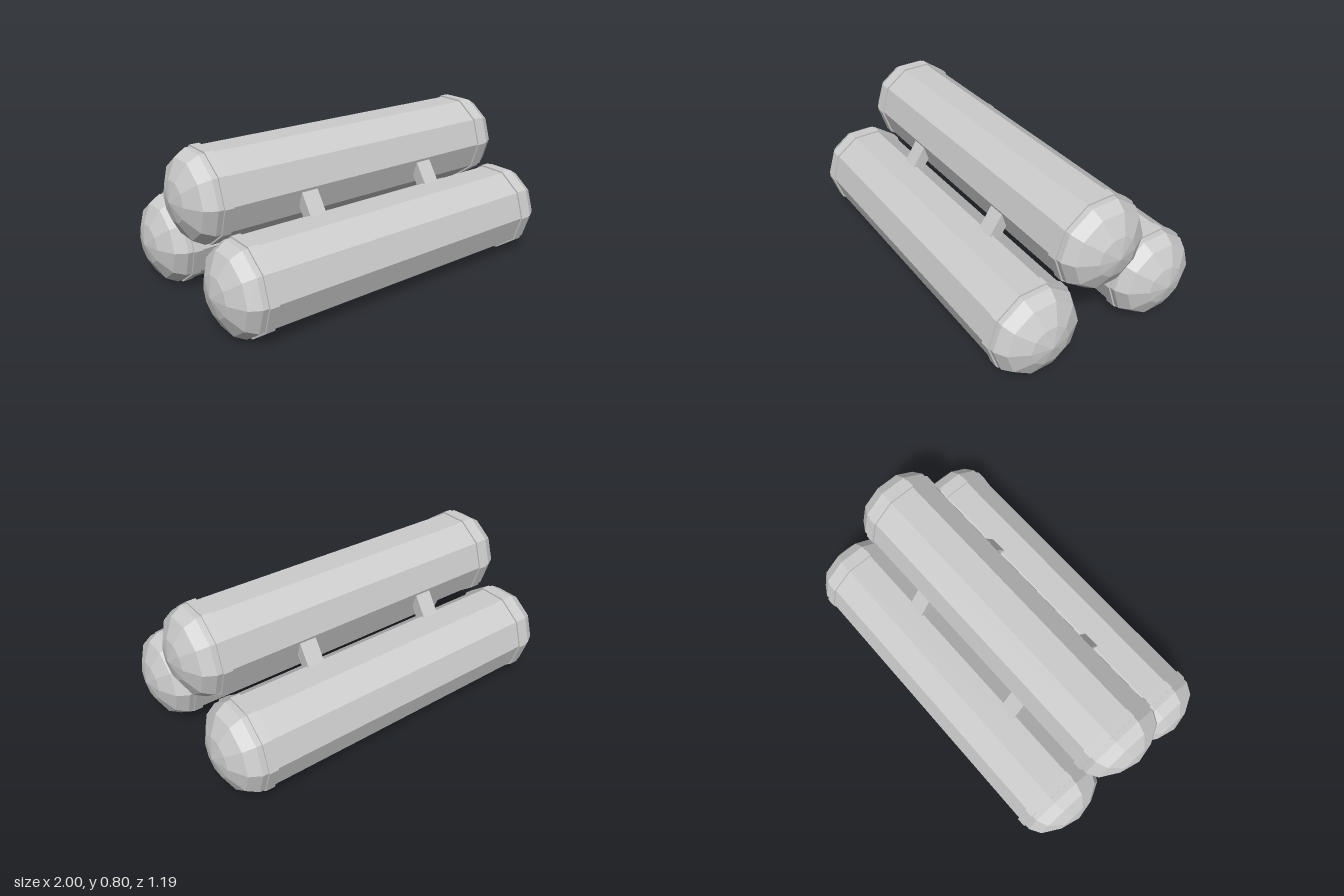
import * as THREE from 'three';

const SIDES = 10;
const material = new THREE.MeshStandardMaterial({ color: 0xcccccc, flatShading: true });

// Ten-sided lathe whose axis lies along x; points are [x, radius] from -x to +x
function latheAlongX(points, name) {
  const geometry = new THREE.LatheGeometry(points.map(([x, r]) => new THREE.Vector2(r, x)), SIDES);
  geometry.rotateZ(-Math.PI / 2);
  const mesh = new THREE.Mesh(geometry, material);
  mesh.name = name;
  return mesh;
}

// Tank with domed ends and a raised band near each end
function createTank(name, y, z) {
  const tank = new THREE.Group();
  tank.name = name;
  const end = [[0.868, 0.233], [0.926, 0.199], [0.977, 0.105], [1, 0]];
  const start = end.map(([x, r]) => [-x, r]).reverse();
  tank.add(latheAlongX([...start, ...end], 'tankShell'));
  for (const side of [-1, 1]) {
    const band = latheAlongX(
      [[-0.024, 0.22], [-0.024, 0.242], [0.024, 0.242], [0.024, 0.22]], 'tankBand');
    band.position.x = side * 0.816;
    tank.add(band);
  }
  tank.position.set(0, y, z);
  return tank;
}

export function createModel() {
  const model = new THREE.Group();
  model.name = 'tankCluster';

  model.add(createTank('upperTank', 0.57, 0));
  model.add(createTank('frontTank', 0.23, 0.353));
  model.add(createTank('backTank', 0.23, -0.353));

  // Slanted struts joining the upper tank to the lower ones
  for (const zSide of [-1, 1]) {
    for (const xSide of [-1, 1]) {
      const strut = new THREE.Mesh(new THREE.BoxGeometry(0.092, 0.2, 0.065), material);
      strut.name = 'strut';
      strut.position.set(xSide * 0.373, 0.48, zSide * 0.24);
      strut.rotation.x = -zSide * 0.595;
      model.add(strut);
    }
  }
  return model;
}
